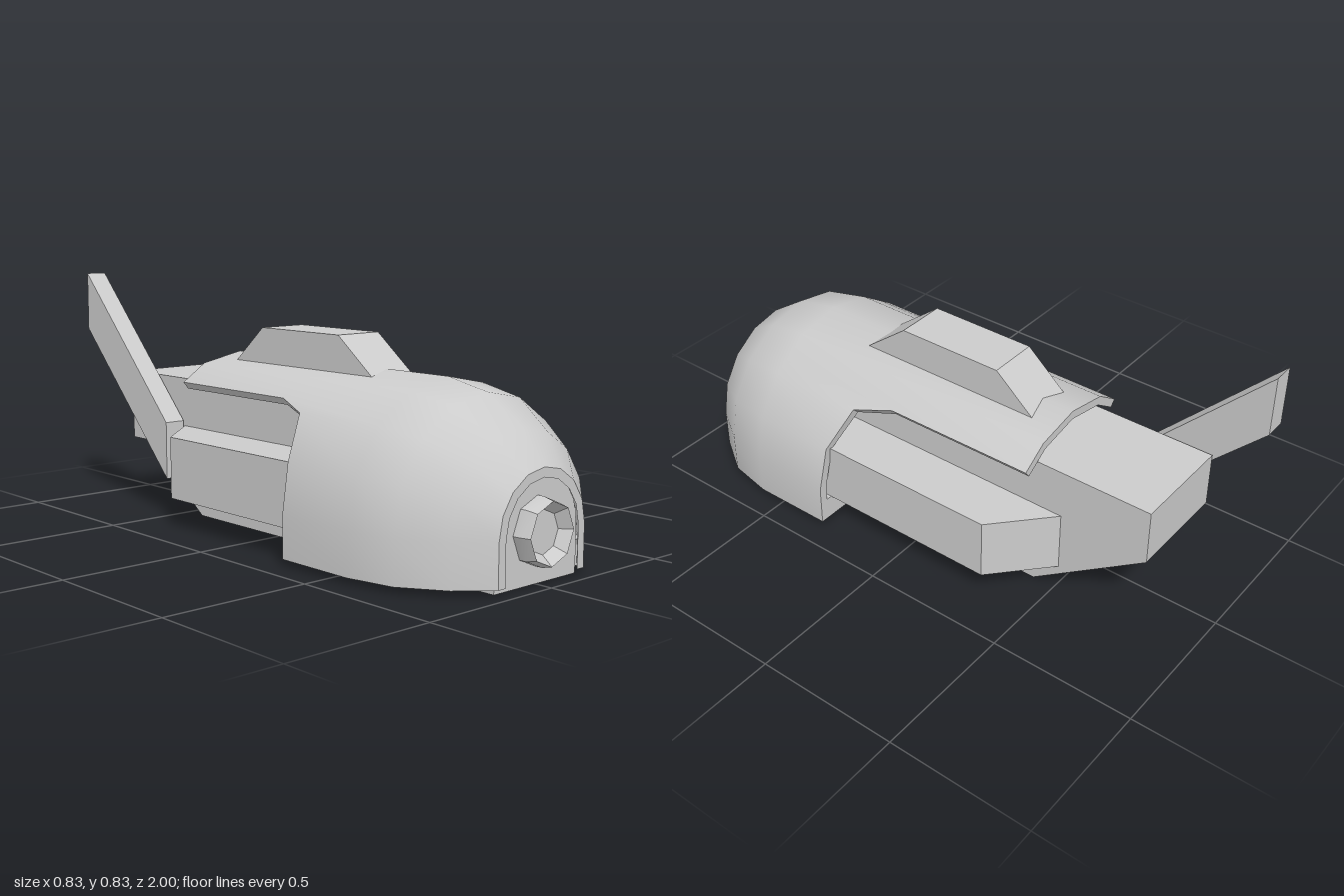
import * as THREE from 'three';
import { toCreasedNormals } from 'three/addons/utils/BufferGeometryUtils.js';

const material = new THREE.MeshStandardMaterial({ color: 0xcccccc, side: THREE.DoubleSide });
const AXIS_Y = 0.157, BASE_Y = 0.02, WALL = 0.03;

// Nose curve: [z, radius] from the front backwards
const NOSE = [[0.965, 0.19], [0.88, 0.293], [0.745, 0.383], [0.585, 0.415]];

const polygon = (points) => new THREE.Shape(points.map(([a, b]) => new THREE.Vector2(a, b)));

// Side outline of [z, y] points, extruded across x0..x1
function sidePlate(points, x0, x1) {
  const geo = new THREE.ExtrudeGeometry(polygon(points.map(([z, y]) => [-z, y])),
    { depth: x1 - x0, bevelEnabled: false });
  return geo.rotateY(Math.PI / 2).translate(x0, 0, 0);
}

// Plan outline of [x, z] points, extruded up y0..y1
function planBlock(points, y0, y1) {
  const geo = new THREE.ExtrudeGeometry(polygon(points.map(([x, z]) => [x, -z])),
    { depth: y1 - y0, bevelEnabled: false });
  return geo.rotateX(-Math.PI / 2).translate(0, y0, 0);
}

// Thick arched shell with both rear sides cut away
function shellGeometry() {
  const s = Math.SQRT1_2, c = Math.cos(Math.PI / 8), d = Math.sin(Math.PI / 8);
  // [unit x, unit y (null = base line), z of the rear edge]
  const half = [[1, null, 0.3], [1, 0, 0.3], [c, d, 0.29], [s, s, 0.24],
    [0.602, 0.776, 0.11], [0.6, 0.778, -0.425], [d, c, -0.425]];
  const arch = [...half, [0, 1, -0.425],
    ...half.slice().reverse().map(([x, y, z]) => [-x, y, z])];
  const columns = arch.map(([ux, uy, end]) => {
    const rows = [...NOSE, [end, 0.415]];
    const line = (inset) => rows.map(([z, r]) =>
      [ux * (r - inset), uy === null ? BASE_Y : AXIS_Y + uy * (r - inset), z]);
    return [...line(0), ...line(WALL).reverse()];
  });
  const n = columns[0].length, index = [];
  for (let j = 0; j < columns.length - 1; j++) {
    for (let k = 0; k < n; k++) {
      const a = j * n + k, b = j * n + (k + 1) % n;
      index.push(a, b, a + n, b, b + n, a + n);
    }
  }
  const geo = new THREE.BufferGeometry();
  geo.setAttribute('position', new THREE.Float32BufferAttribute(columns.flat(2), 3));
  geo.setIndex(index);
  return toCreasedNormals(geo, 0.6);
}

export function createModel() {
  const group = new THREE.Group();
  const add = (name, geo) => {
    const mesh = new THREE.Mesh(geo, material);
    mesh.name = name;
    group.add(mesh);
    return mesh;
  };

  add('shell', shellGeometry());

  // Floor closing the underside of the shell
  const edge = [[0.935, 0.225], ...NOSE.slice(1), [0.3, 0.415]];
  add('shellFloor', planBlock([
    ...edge.map(([z, r]) => [r - 0.001, z]),
    ...edge.slice().reverse().map(([z, r]) => [-r + 0.001, z]),
  ], BASE_Y, 0.1));

  // Long inner hull with a sloping tail
  add('hull', sidePlate([[0.94, 0], [-0.42, 0], [-0.83, 0.29], [-0.83, 0.48],
    [0.66, 0.48], [0.9, 0.25], [0.94, 0.2]], -0.18, 0.18));

  // Recessed wall in the nose arch
  const wall = [[0.18, BASE_Y]];
  for (let i = 0; i <= 8; i++) {
    const a = i * Math.PI / 8;
    wall.push([0.18 * Math.cos(a), AXIS_Y + 0.18 * Math.sin(a)]);
  }
  wall.push([-0.18, BASE_Y]);
  add('noseWall', new THREE.ExtrudeGeometry(polygon(wall), { depth: 0.02, bevelEnabled: false })
    .translate(0, 0, 0.922));

  // Eight-sided nozzle with a funnel mouth
  const nozzle = new THREE.LatheGeometry([[0.105, 0.93], [0.105, 0.965], [0.096, 1], [0.067, 0.965], [0, 0.965]]
    .map(([r, y]) => new THREE.Vector2(r, y)), 8);
  add('nozzle', toCreasedNormals(nozzle.rotateX(Math.PI / 2).translate(0, AXIS_Y, 0), 0.3));

  // Side pods with angled rear ends
  for (const side of [1, -1]) {
    add(side > 0 ? 'leftPod' : 'rightPod', planBlock(
      [[0.17, 0.42], [0.365, 0.42], [0.365, -0.345], [0.17, -0.525]].map(([x, z]) => [side * x, z]),
      0.1, 0.31));
  }

  // Raised block on the roof
  add('roofBlock', sidePlate([[0.39, 0.52], [0.19, 0.675], [-0.19, 0.675], [-0.37, 0.52]], -0.088, 0.088));

  // Swept tail fin on the right side, with its mounting peg
  add('tailFin', sidePlate([[-0.51, 0.33], [-1, 0.835], [-1, 0.63], [-0.51, 0.13]], -0.265, -0.19));
  add('finPeg', new THREE.BoxGeometry(0.07, 0.1, 0.1).translate(-0.21, 0.3, -0.69));

  return group;
}
